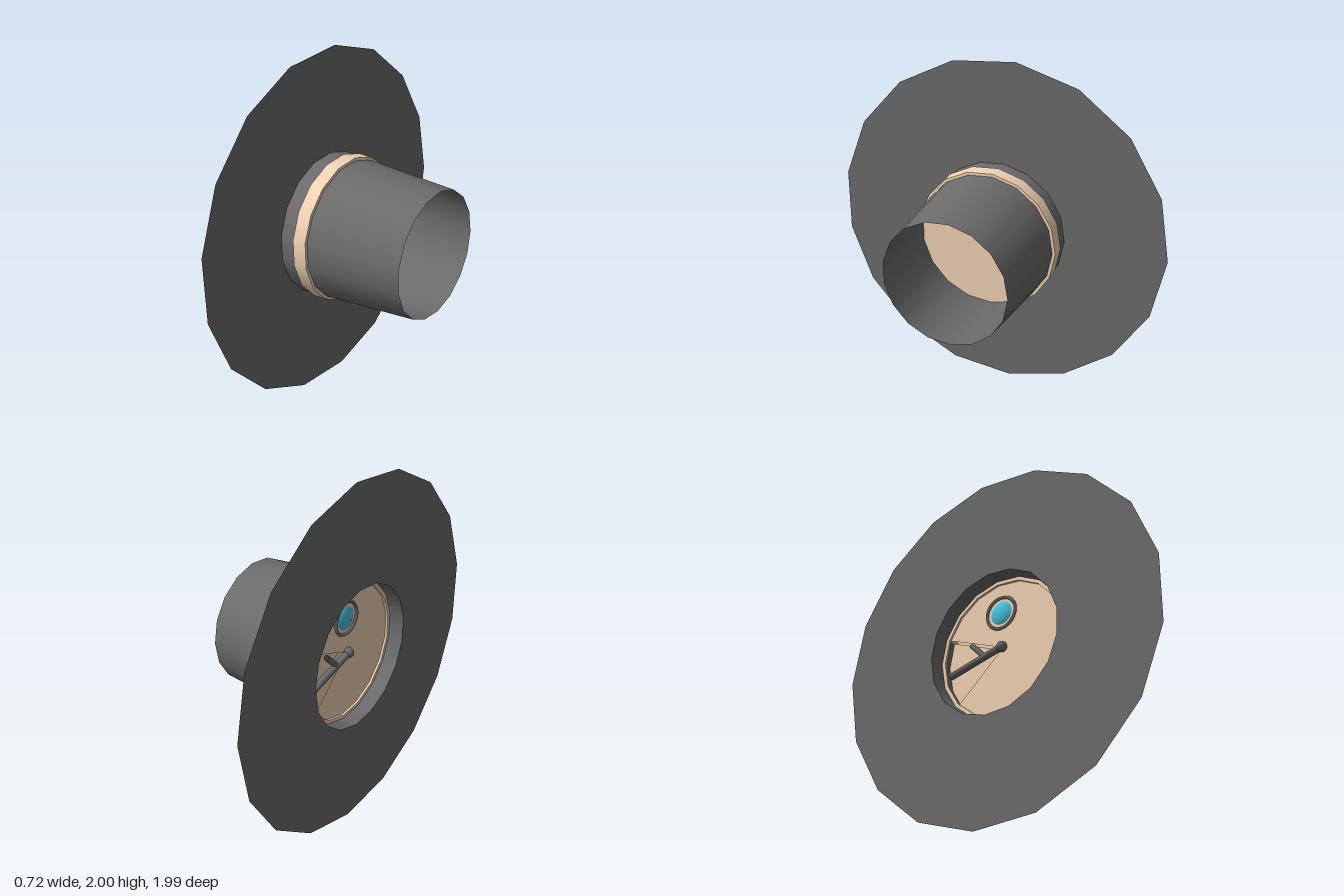
import * as THREE from 'three';

const SIDES = 17;
const STEP = (Math.PI * 2) / SIDES;

const paint = (color) => new THREE.MeshStandardMaterial({ color, side: THREE.DoubleSide });
const grey = paint(0x6c6c6c);
const beige = paint(0xf2d3b5);
const blue = paint(0x48c4e0);

function add(parent, name, geometry, material) {
  const mesh = new THREE.Mesh(geometry, material);
  mesh.name = name;
  parent.add(mesh);
  return mesh;
}

// Frustum along x from x0 to x1; segments count upwards from the -z corner
function drum(x0, r0, x1, r1, open, first = 0, count = SIDES) {
  return new THREE.CylinderGeometry(r1, r0, x1 - x0, count, 1, open, Math.PI + first * STEP, count * STEP)
    .rotateZ(-Math.PI / 2)
    .translate((x0 + x1) / 2, 0, 0);
}

// Flat ring facing along x
function ring(x, inner, outer) {
  return new THREE.RingGeometry(inner, outer, SIDES, 1).rotateY(Math.PI / 2).translate(x, 0, 0);
}

// Round rod between two points
function rod(a, b, radius) {
  const path = new THREE.LineCurve3(new THREE.Vector3(...a), new THREE.Vector3(...b));
  return new THREE.TubeGeometry(path, 1, radius, 10);
}

export function createModel() {
  const model = new THREE.Group();
  const body = new THREE.Group();
  body.name = 'body';
  body.position.set(0, 1, 0.0085);
  model.add(body);

  // Flat brim and open tapered crown
  add(body, 'brim', ring(-0.362, 0.41, 1.0043), grey);
  add(body, 'crown', drum(-0.362, 0.412, 0.36, 0.36, true), grey);

  // Band round the crown, with its inner lip
  add(body, 'band', drum(-0.275, 0.42, -0.195, 0.417, true), beige);
  add(body, 'bandBackEdge', ring(-0.275, 0.385, 0.42), beige);
  add(body, 'bandFrontEdge', ring(-0.195, 0.385, 0.417), beige);
  add(body, 'innerLip', drum(-0.275, 0.385, -0.262, 0.385, true), beige);

  // Partition inside the crown: main panel and a recessed wedge
  add(body, 'partition', drum(-0.262, 0.4, -0.195, 0.4, false, 1, SIDES - 3), beige);
  add(body, 'wedgePanel', drum(-0.215, 0.4, -0.195, 0.4, false, -2, 3), beige);

  // Round window
  const porthole = new THREE.Group();
  porthole.name = 'porthole';
  porthole.position.set(-0.23, 0.21, -0.015);
  body.add(porthole);
  add(porthole, 'windowFrame',
    new THREE.TorusGeometry(0.093, 0.012, 8, 24).rotateY(Math.PI / 2).scale(4, 1, 1), grey);
  add(porthole, 'windowPane',
    new THREE.SphereGeometry(0.09, 24, 12).scale(0.55, 1, 1), blue);

  // Forked handle lying over the wedge
  const handle = new THREE.Group();
  handle.name = 'handle';
  body.add(handle);
  add(handle, 'handleKnob', new THREE.SphereGeometry(0.03, 14, 10).translate(-0.275, 0, 0), grey);
  add(handle, 'handleStem', rod([-0.275, 0, 0], [-0.275, -0.09, -0.34], 0.02), grey);
  add(handle, 'handleFork', rod([-0.275, -0.03, -0.11], [-0.275, 0.06, -0.2], 0.016), grey);

  return model;
}
